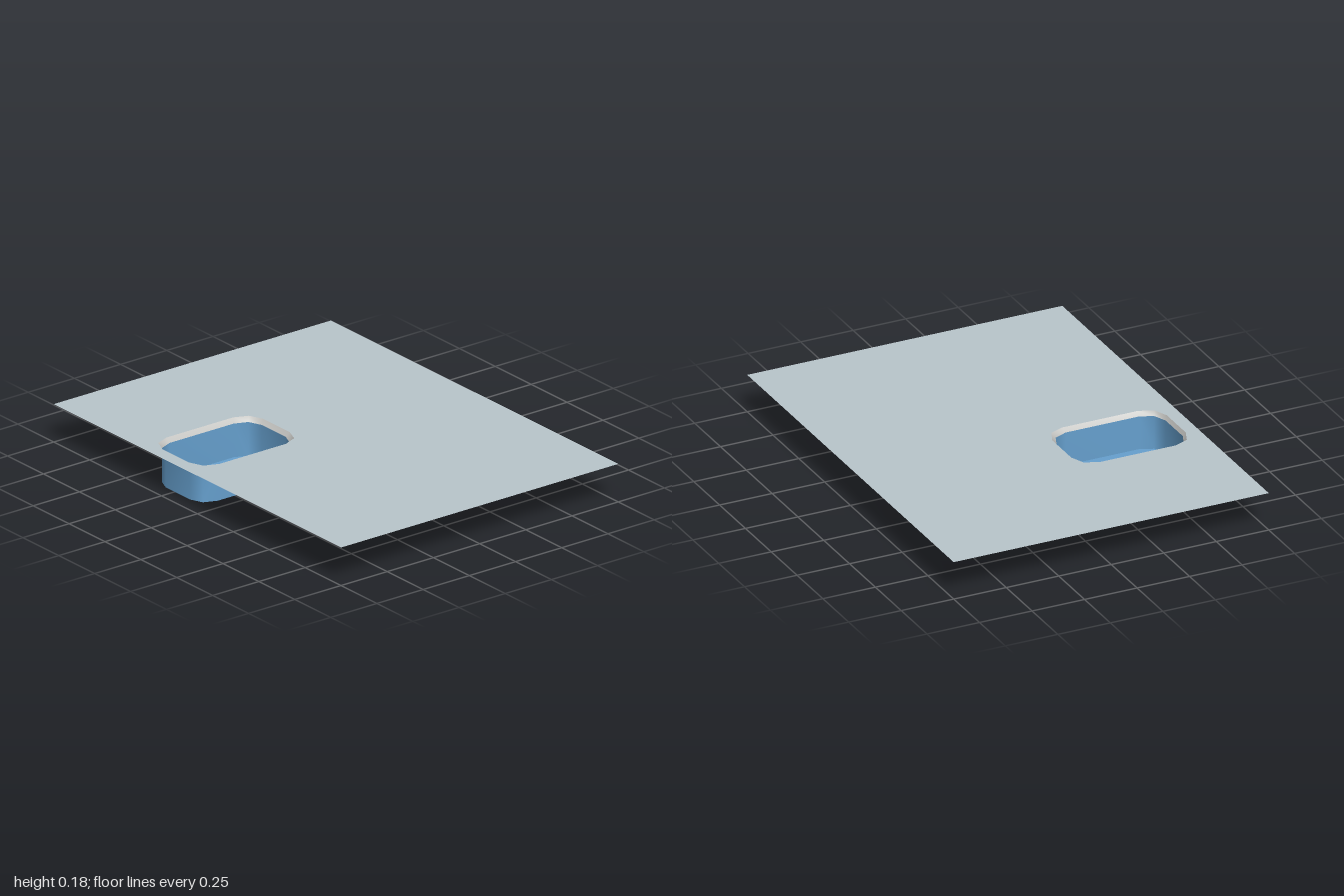
import * as THREE from 'three';

// Rounded-rectangle outline as [x, z] points, two facets per corner.
function outline(x0, x1, z0, z1, r) {
  const points = [];
  const corners = [[x1 - r, z1 - r], [x0 + r, z1 - r], [x0 + r, z0 + r], [x1 - r, z0 + r]];
  corners.forEach(([cx, cz], i) => {
    for (let k = 0; k <= 2; k++) {
      const a = (i + k / 2) * Math.PI / 2;
      points.push([cx + r * Math.cos(a), cz + r * Math.sin(a)]);
    }
  });
  return points;
}

// Band of quads joining two matching outlines at different heights.
function band(lower, y0, upper, y1) {
  const n = lower.length, positions = [], index = [];
  lower.forEach(([x, z]) => positions.push(x, y0, z));
  upper.forEach(([x, z]) => positions.push(x, y1, z));
  for (let i = 0; i < n; i++) {
    const j = (i + 1) % n;
    index.push(i, j, n + i, j, n + j, n + i);
  }
  const geometry = new THREE.BufferGeometry();
  geometry.setAttribute('position', new THREE.Float32BufferAttribute(positions, 3));
  geometry.setIndex(index);
  geometry.computeVertexNormals();
  return geometry;
}

const toVectors = (points) => points.map(([x, z]) => new THREE.Vector2(x, -z));

// Horizontal face from a shape drawn in x and -z.
function flat(shape, y) {
  return new THREE.ShapeGeometry(shape).rotateX(-Math.PI / 2).translate(0, y, 0);
}

export function createModel() {
  const model = new THREE.Group();
  const material = (name, color) =>
    new THREE.MeshStandardMaterial({ name, color, side: THREE.DoubleSide });
  const paving = material('paving grey', 0xb9c5cb);
  const stone = material('rim grey', 0xc4c4c1);
  const blue = material('pool blue', 0x66a0ce);

  const add = (name, geometry, mat) => {
    const mesh = new THREE.Mesh(geometry, mat);
    mesh.name = name;
    model.add(mesh);
  };

  const top = 0.176, rimBottom = 0.156;
  const rimOutline = outline(-0.688, -0.143, -0.414, -0.046, 0.092);
  const basinOutline = outline(-0.679, -0.16, -0.396, -0.06, 0.085);

  // Ground sheet with the pool opening
  const sheet = new THREE.Shape(toVectors([[-0.75, 1], [0.75, 1], [0.75, -1], [-0.75, -1]]));
  sheet.holes.push(new THREE.Path(toVectors(rimOutline)));
  add('ground', flat(sheet, top), paving);

  // Sloping rim, basin walls and floor
  add('rim', band(basinOutline, rimBottom, rimOutline, top), stone);
  add('basinWalls', band(basinOutline, 0, basinOutline, rimBottom), blue);
  add('basinFloor', flat(new THREE.Shape(toVectors(basinOutline)), 0), blue);

  return model;
}
